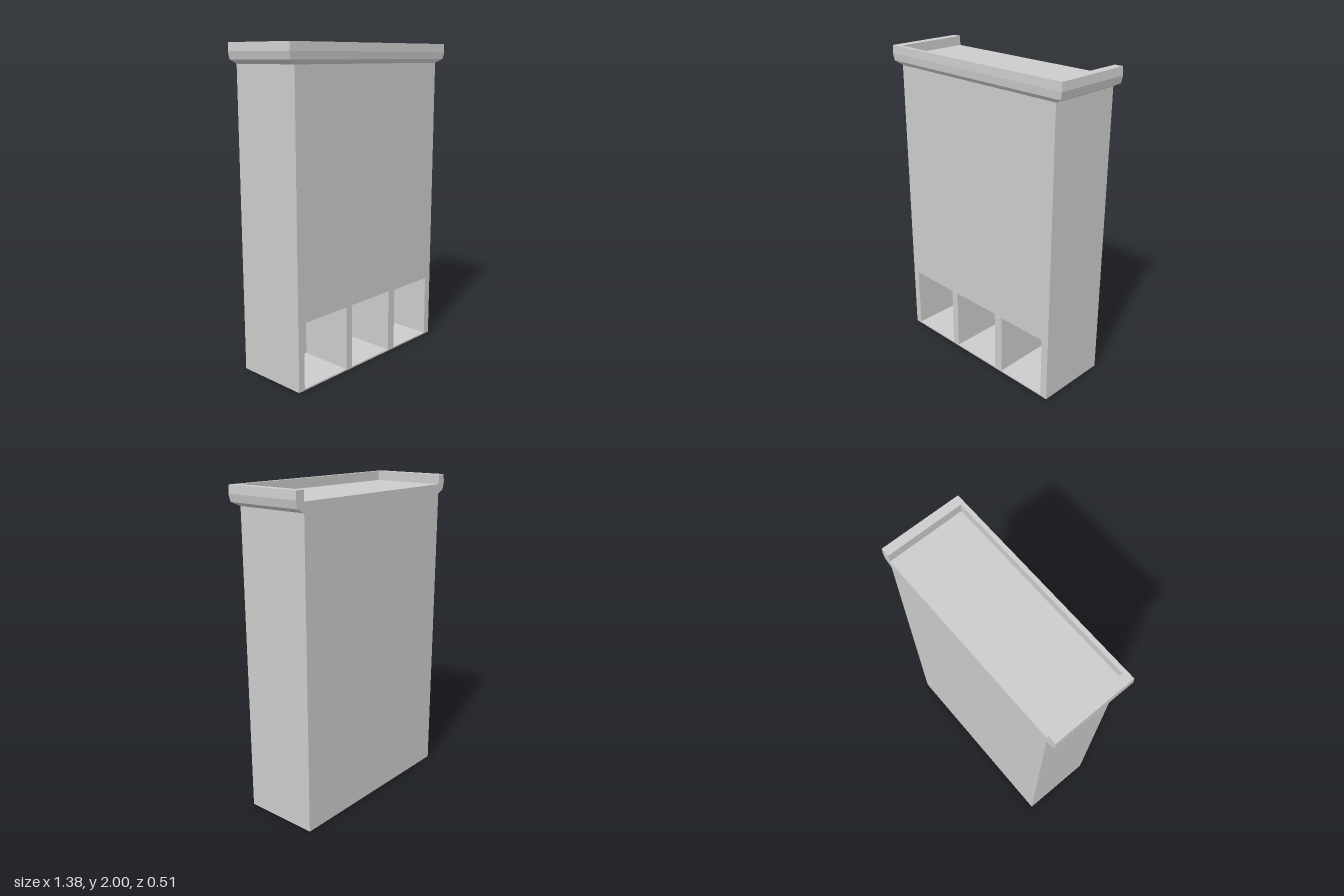
import * as THREE from 'three';

const W = 0.63, FRONT = 0.23, BACK = -0.255, FLOOR = 1.94;
const mat = new THREE.MeshStandardMaterial({ color: 0xcccccc, flatShading: true });

function add(parent, geometry, name) {
  const mesh = new THREE.Mesh(geometry, mat);
  mesh.name = name;
  parent.add(mesh);
  return mesh;
}

// Box without its +z face; inward turns the faces to the inside
function openBox(x0, x1, y0, y1, z0, z1, inward = false) {
  const g = new THREE.BoxGeometry(x1 - x0, y1 - y0, z1 - z0);
  g.translate((x0 + x1) / 2, (y0 + y1) / 2, (z0 + z1) / 2);
  const index = Array.from(g.index.array);
  index.splice(24, 6);
  if (inward) index.reverse();
  g.setIndex(index);
  g.clearGroups();
  g.computeVertexNormals();
  return g;
}

function rect(Type, x0, x1, y0, y1) {
  const p = new Type();
  p.moveTo(x0, y0);
  p.lineTo(x1, y0);
  p.lineTo(x1, y1);
  p.lineTo(x0, y1);
  p.closePath();
  return p;
}

// Moulding swept round left, front and right, with mitred corners and flat ends
function rimGeometry() {
  const profile = [[0, 1.88], [0.83, 1.905], [1, 1.95], [0.93, 2], [0, 2], [0, FLOOR]];
  const stations = [
    [-W, BACK, -0.06, 0], [-W, FRONT, -0.06, 0.028],
    [W, FRONT, 0.06, 0.028], [W, BACK, 0.06, 0],
  ];
  const n = profile.length, positions = [], index = [];
  for (const [x, z, dx, dz] of stations)
    for (const [o, y] of profile) positions.push(x + dx * o, y, z + dz * o);
  for (let s = 0; s < 3; s++)
    for (let k = 0; k < n - 1; k++) {
      const a = s * n + k, b = a + n;
      index.push(a, b, b + 1, a, b + 1, a + 1);
    }
  const last = 3 * n;
  for (let k = 1; k < n - 2; k++) {
    index.push(0, k, k + 1);
    index.push(last, last + k + 1, last + k);
  }
  const g = new THREE.BufferGeometry();
  g.setAttribute('position', new THREE.Float32BufferAttribute(positions, 3));
  g.setIndex(index);
  const flat = g.toNonIndexed();
  flat.computeVertexNormals();
  return flat;
}

export function createModel() {
  const model = new THREE.Group();
  model.name = 'cabinet';

  // Tall body: sides, back, base and recessed top
  add(model, openBox(-W, W, 0, FLOOR, BACK, FRONT), 'body');

  // Front panel with three openings, each leading into a niche
  const panel = rect(THREE.Shape, -W, W, 0, FLOOR);
  const niches = [
    [-0.585, -0.225, 0.418, -0.13],
    [-0.175, 0.18, 0.418, -0.21],
    [0.24, 0.58, 0.413, -0.19],
  ];
  niches.forEach(([x0, x1, top, z], i) => {
    panel.holes.push(rect(THREE.Path, x0, x1, 0.01, top));
    add(model, openBox(x0, x1, 0.01, top, z, FRONT, true), `niche${i + 1}`);
  });
  add(model, new THREE.ShapeGeometry(panel), 'frontPanel').position.z = FRONT;

  // Raised rim round the top, open at the back
  add(model, rimGeometry(), 'topRim');

  return model;
}
